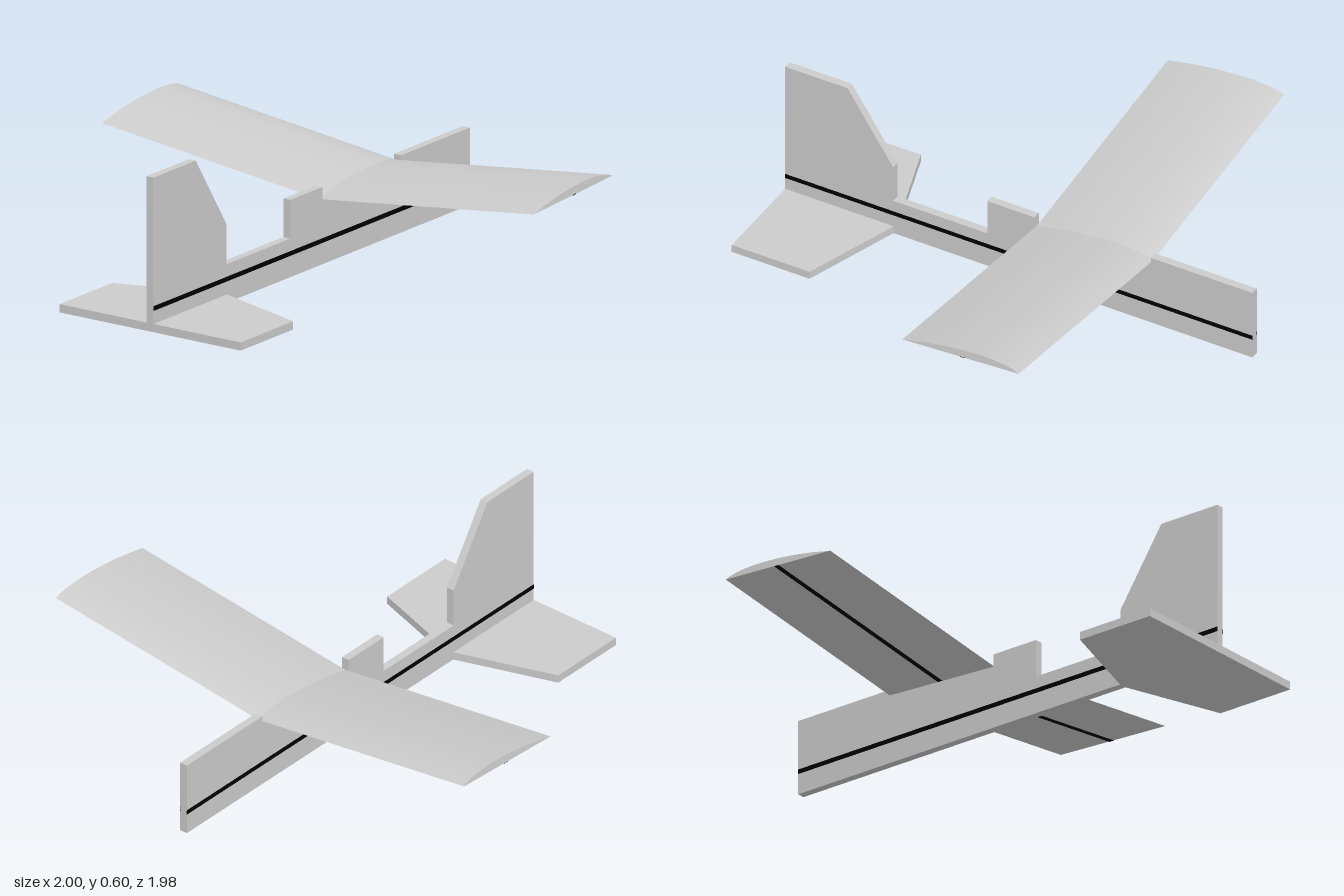
import * as THREE from 'three';
import { toCreasedNormals } from 'three/addons/utils/BufferGeometryUtils.js';

const grey = new THREE.MeshStandardMaterial({ color: 0xcccccc });
const black = new THREE.MeshStandardMaterial({ color: 0x000000 });

const THICK = 0.032;      // sheet thickness of body and tail
const HALF_SPAN = 0.99;
const DIHEDRAL = 0.121;   // rise per unit of span

function polygon(points) {
  return new THREE.Shape(points.map(([x, y]) => new THREE.Vector2(x, y)));
}

// Extrude a shape along z, centred on z = 0
function slab(shape, depth, steps = 1) {
  return new THREE.ExtrudeGeometry(shape, { depth, steps, bevelEnabled: false, curveSegments: 4 })
    .translate(0, 0, -depth / 2);
}

// Raise a spanwise extrusion into a V; its ends stay square to each panel
function bendToV(geometry) {
  const p = geometry.attributes.position;
  for (let i = 0; i < p.count; i++) {
    const y = p.getY(i), z = p.getZ(i);
    p.setY(i, y + Math.abs(z) * DIHEDRAL);
    p.setZ(i, z * (1 - y * DIHEDRAL));
  }
  return toCreasedNormals(geometry, 0.17);
}

function add(parent, name, geometry, material) {
  const mesh = new THREE.Mesh(geometry, material);
  mesh.name = name;
  parent.add(mesh);
  return mesh;
}

export function createModel() {
  const model = new THREE.Group();
  model.name = 'gliderModel';

  // Body sheet with tail fin, step behind the wing and a slot for the wing
  const body = polygon([
    [-1, 0], [1, 0], [1, 0.3], [0.565, 0.3], [0.565, 0.277], [0.067, 0.25], [0.067, 0.3],
    [-0.135, 0.3], [-0.135, 0.15], [-0.538, 0.15], [-0.538, 0.305], [-0.733, 0.6], [-1, 0.6],
  ]);
  add(model, 'fuselageAndFin', slab(body, THICK), grey);

  // Dark stripe on both flanks
  for (const side of [1, -1]) {
    const stripe = add(model, 'bodyStripe', new THREE.BoxGeometry(2, 0.018, 0.002), black);
    stripe.position.set(0, 0.092, side * THICK / 2);
  }

  // Flat tailplane with swept leading edges
  const tail = polygon([
    [-1, -0.415], [-0.667, -0.415], [-0.536, -THICK / 2],
    [-0.536, THICK / 2], [-0.667, 0.415], [-1, 0.415],
  ]);
  const tailGeometry = slab(tail, THICK).rotateX(-Math.PI / 2).translate(0, THICK / 2, 0);
  add(model, 'tailplane', tailGeometry, grey);

  // Wing: flat underside, cambered top, trailing edge at the local origin
  const wing = new THREE.Group();
  wing.name = 'wing';
  wing.position.set(0.067, 0.25, 0);
  wing.rotation.z = 0.055;
  const section = new THREE.Shape();
  section.moveTo(0, 0);
  section.lineTo(0.499, 0);
  section.splineThru([
    [0.475, 0.011], [0.44, 0.02], [0.38, 0.0285], [0.31, 0.031],
    [0.2, 0.027], [0.1, 0.016], [0, 0],
  ].map(([x, y]) => new THREE.Vector2(x, y)));
  add(wing, 'wingPanels', bendToV(slab(section, 2 * HALF_SPAN, 2)), grey);

  // Dark spar strip along the underside
  const spar = polygon([[0.247, -0.0015], [0.267, -0.0015], [0.267, 0.001], [0.247, 0.001]]);
  add(wing, 'wingSpar', bendToV(slab(spar, 2 * HALF_SPAN, 2)), black);
  model.add(wing);

  return model;
}
